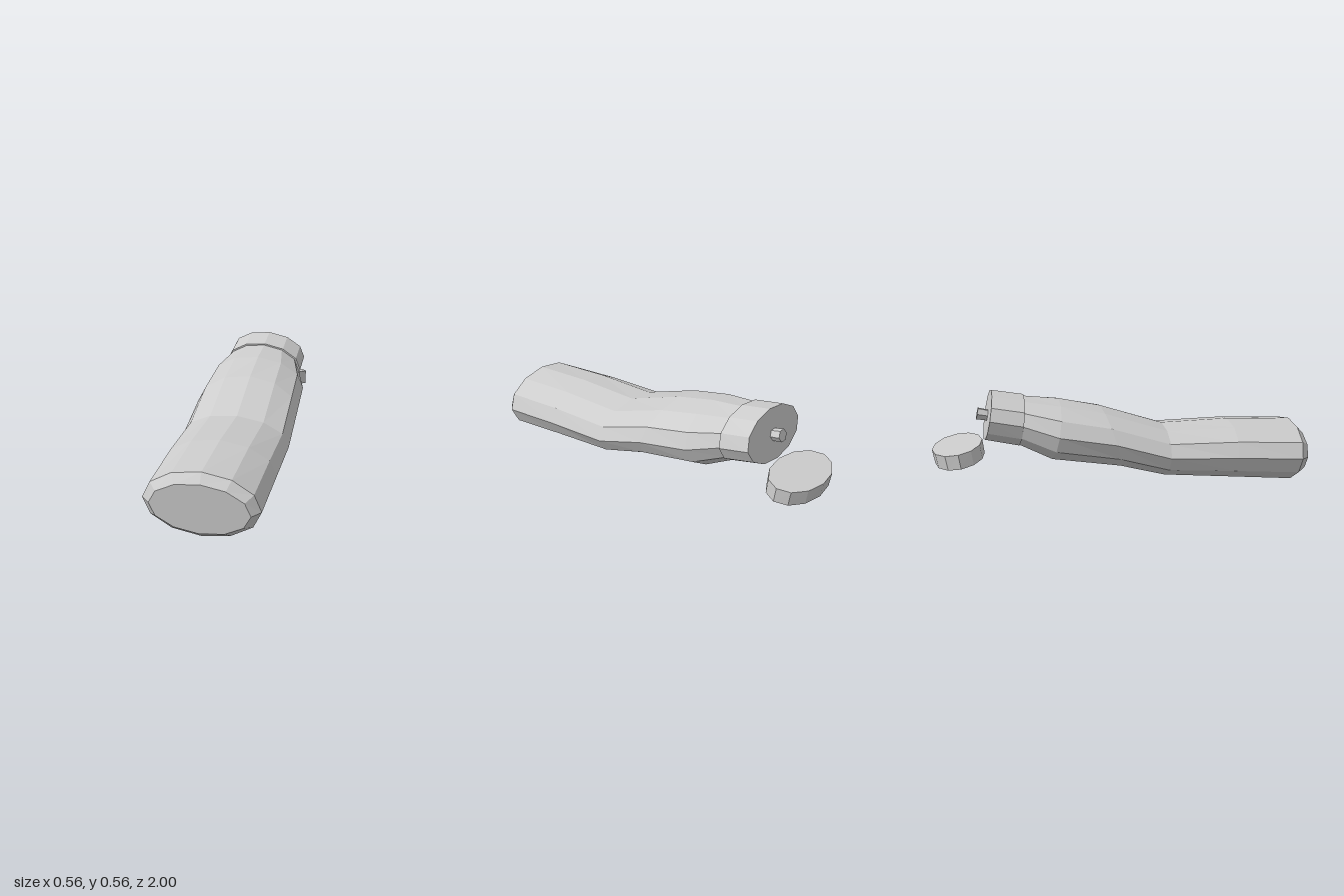
import * as THREE from 'three';

// Closed flat-shaded loft through tilted elliptical rings.
// Ring: [upper z, upper y, lower z, lower y, half width, centre x, sideways roll]
function loft(name, rings, sides, material) {
  const pos = [];
  const points = rings.map(([uz, uy, lz, ly, hw, cx, roll]) => {
    const centre = new THREE.Vector3(cx, (uy + ly) / 2, (uz + lz) / 2);
    const up = new THREE.Vector3(hw * roll * 0.5, (uy - ly) / 2, (uz - lz) / 2);
    const across = new THREE.Vector3(hw, -hw * roll, 0);
    const ring = [];
    for (let k = 0; k < sides; k++) {
      const a = (k / sides) * Math.PI * 2;
      ring.push(centre.clone().addScaledVector(across, Math.cos(a)).addScaledVector(up, Math.sin(a)));
    }
    return { centre, ring };
  });
  const tri = (...corners) => corners.forEach((p) => pos.push(p.x, p.y, p.z));
  const first = points[0];
  const last = points[points.length - 1];
  for (let k = 0; k < sides; k++) {
    const n = (k + 1) % sides;
    for (let i = 0; i < points.length - 1; i++) {
      const f = points[i].ring;
      const b = points[i + 1].ring;
      tri(f[k], b[k], f[n]);
      tri(f[n], b[k], b[n]);
    }
    tri(first.centre, first.ring[k], first.ring[n]);
    tri(last.centre, last.ring[n], last.ring[k]);
  }
  const geometry = new THREE.BufferGeometry();
  geometry.setAttribute('position', new THREE.Float32BufferAttribute(pos, 3));
  geometry.computeVertexNormals();
  const mesh = new THREE.Mesh(geometry, material);
  mesh.name = name;
  return mesh;
}

export function createModel() {
  const plastic = new THREE.MeshStandardMaterial({ color: 0xcccccc, flatShading: true });
  plastic.name = 'greyPlastic';
  const group = new THREE.Group();
  group.name = 'squeezeBottle';

  // Bent bottle: bevelled base, squeezed middle, tapering shoulder
  group.add(loft('bottleBody', [
    [1.0, 0.29, 0.975, 0.038, 0.236, -0.003, 0.06],
    [0.96, 0.335, 0.925, 0.003, 0.277, -0.004, 0.05],
    [0.6, 0.352, 0.57, 0.038, 0.281, -0.002, 0.05],
    [0.23, 0.347, 0.21, 0.073, 0.28, 0, 0.06],
    [-0.11, 0.46, -0.02, 0.133, 0.276, 0.002, 0.06],
    [-0.33, 0.508, -0.39, 0.19, 0.264, 0.004, 0.06],
    [-0.52, 0.53, -0.56, 0.275, 0.208, 0.006, 0.08],
  ], 12, plastic));

  // Collar around the neck
  group.add(loft('collar', [
    [-0.515, 0.538, -0.555, 0.268, 0.218, 0.007, 0.08],
    [-0.68, 0.567, -0.73, 0.309, 0.216, 0.008, 0.08],
  ], 12, plastic));

  // Small spout in the middle of the collar
  group.add(loft('nozzle', [
    [-0.69, 0.463, -0.702, 0.403, 0.028, 0.01, 0.08],
    [-0.752, 0.479, -0.766, 0.414, 0.033, 0.01, 0.08],
  ], 6, plastic));

  // Flipped-open lid behind the collar
  group.add(loft('flipLid', [
    [-1.0, 0.265, -0.738, 0.31, 0.213, 0.002, 0.02],
    [-0.986, 0.19, -0.728, 0.234, 0.213, 0.002, 0.02],
  ], 12, plastic));

  return group;
}
